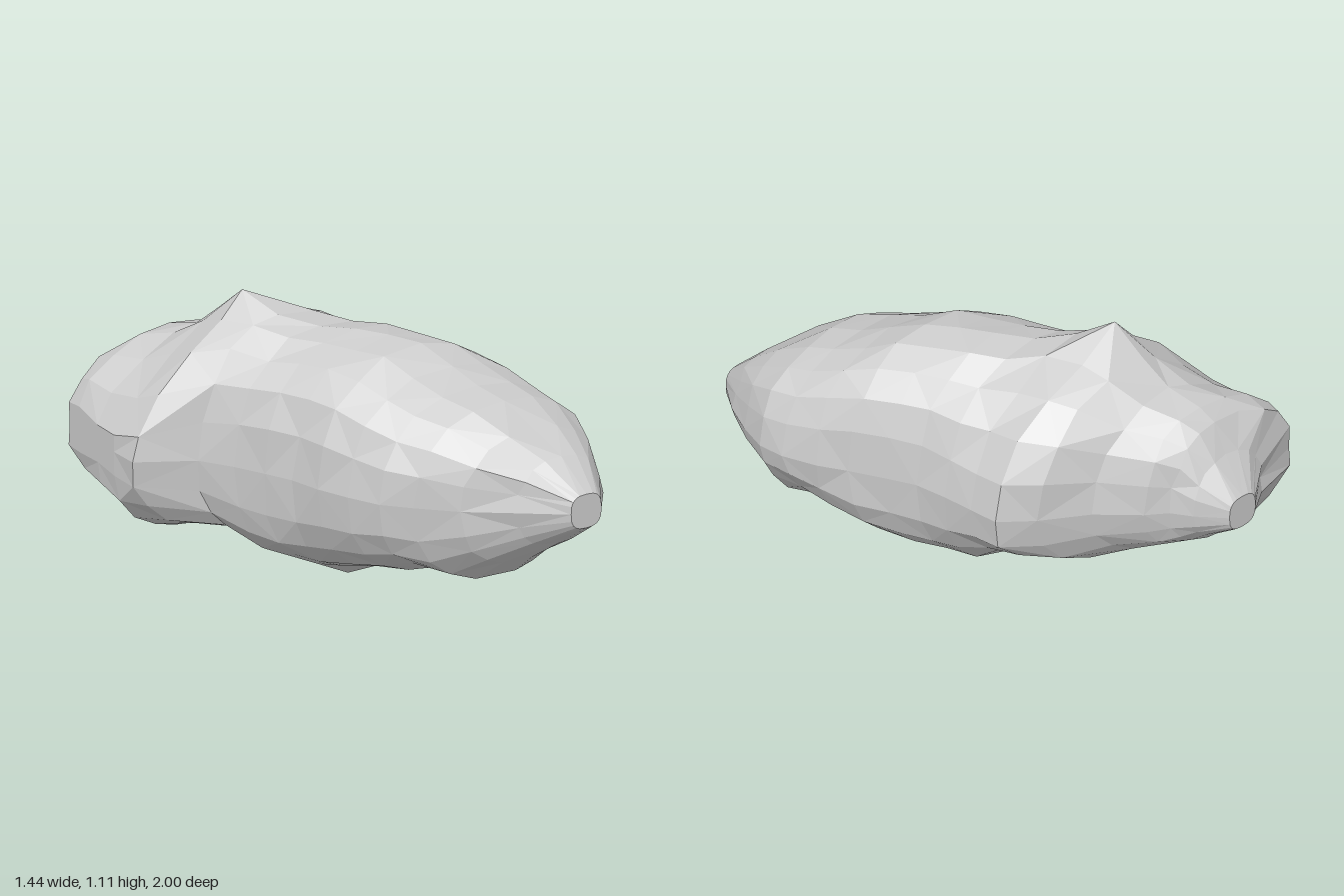
import * as THREE from 'three';

// Cross-sections from back to front:
// z, xMin, xMax, yMin, yMax, x of the crest, x of the keel
const SECTIONS = [
  [-1.0, -0.36, -0.22, 0.43, 0.57, -0.29, -0.29],
  [-0.89, -0.5, -0.13, 0.36, 0.7, -0.31, -0.32],
  [-0.82, -0.74, -0.08, 0.3, 0.81, -0.32, -0.38],
  [-0.75, -0.76, 0.0, 0.26, 0.86, -0.3, -0.42],
  [-0.62, -0.78, 0.14, 0.21, 0.9, -0.27, -0.45],
  [-0.5, -0.78, 0.32, 0.14, 1.0, -0.24, -0.44],
  [-0.38, -0.73, 0.44, 0.17, 1.04, -0.22, -0.3],
  [-0.25, -0.5, 0.45, 0.16, 1.03, -0.14, -0.15],
  [-0.12, -0.42, 0.46, 0.08, 1.0, -0.03, -0.04],
  [0.0, -0.36, 0.48, 0.06, 1.01, 0.06, 0.03],
  [0.12, -0.31, 0.53, 0.07, 1.01, 0.13, 0.1],
  [0.25, -0.28, 0.6, 0.1, 1.0, 0.2, 0.17],
  [0.38, -0.23, 0.66, 0.12, 0.94, 0.25, 0.24],
  [0.5, -0.17, 0.71, 0.17, 0.89, 0.29, 0.3],
  [0.62, -0.08, 0.72, 0.14, 0.86, 0.33, 0.39],
  [0.75, 0.05, 0.68, 0.24, 0.78, 0.38, 0.38],
  [0.87, 0.23, 0.62, 0.33, 0.69, 0.43, 0.43],
  [1.0, 0.39, 0.53, 0.43, 0.57, 0.46, 0.46],
];
const SIDES = 20;
const WAIST = 0.5;

// Seeded noise in -1..1
function makeNoise(seed) {
  let s = seed;
  return () => {
    s = (s * 16807) % 2147483647;
    return (s / 2147483647) * 2 - 1;
  };
}

const power = (v, e) => Math.sign(v) * Math.pow(Math.abs(v), e);
const bump = (z, centre) => Math.exp(-(((z - centre) / 0.2) ** 2));

// Above 1 the quarter of a section is straighter, below 1 fuller
function fullness(z, isTop, isRight) {
  if (isTop && isRight) return 0.88 + 0.8 * bump(z, -0.5);
  if (isTop) return 0.88 + 0.2 * bump(z, -0.3);
  if (isRight) return 0.78 + 0.35 * bump(z, -0.55);
  return 0.82 + 0.45 * THREE.MathUtils.smoothstep(z, 0.2, 0.65);
}

function rockGeometry() {
  const noise = makeNoise(4711);
  const points = [];
  const faces = [];
  const last = SECTIONS.length - 1;

  SECTIONS.forEach(([z, x0, x1, y0, y1, crest, keel], i) => {
    const isEnd = i === 0 || i === last;
    for (let j = 0; j < SIDES; j++) {
      const a = (j / SIDES) * Math.PI * 2;
      const c = Math.cos(a);
      const s = Math.sin(a);
      // Each quarter runs from the crest or keel to the side
      const isTop = j <= SIDES / 2;
      const core = isTop ? crest : keel;
      const reach = c < 0 ? core - x0 : x1 - core;
      const height = isTop ? y1 - WAIST : WAIST - y0;
      const e = isEnd ? 0.7 : fullness(z, isTop, c < 0);
      // Roughness, kept off the extreme points and the end facets
      const swell = 1 + noise() * (isEnd || j % 5 === 0 ? 0 : 0.018);
      const x = core + reach * power(c, e) * swell;
      const y = WAIST + height * power(s, e) * swell;
      const dz = isEnd ? 0 : noise() * 0.012;
      // The rear right flank is sheared off flat
      points.push(Math.max(x, -0.72), y, z + dz);
    }
  });

  // Peak on the crest and point on the keel
  points[(6 * SIDES + 5) * 3 + 1] = 1.11;
  points[(9 * SIDES + 15) * 3 + 1] = 0;

  // Skin between neighbouring sections
  for (let i = 0; i < last; i++) {
    for (let j = 0; j < SIDES; j++) {
      const k = (j + 1) % SIDES;
      const a = i * SIDES + j;
      const b = i * SIDES + k;
      const c = b + SIDES;
      const d = a + SIDES;
      if ((i + j) % 2) faces.push(a, b, c, a, c, d);
      else faces.push(a, b, d, b, c, d);
    }
  }

  // Flat facets closing both ends
  for (let j = 1; j < SIDES - 1; j++) {
    const f = last * SIDES;
    faces.push(0, j + 1, j, f, f + j, f + j + 1);
  }

  const geometry = new THREE.BufferGeometry();
  geometry.setAttribute('position', new THREE.Float32BufferAttribute(points, 3));
  geometry.setIndex(faces);
  geometry.computeVertexNormals();
  return geometry;
}

export function createModel() {
  const group = new THREE.Group();
  group.name = 'asteroid';
  const material = new THREE.MeshStandardMaterial({ color: 0xcccccc, flatShading: true });
  const rock = new THREE.Mesh(rockGeometry(), material);
  rock.name = 'rockBody';
  group.add(rock);
  return group;
}
